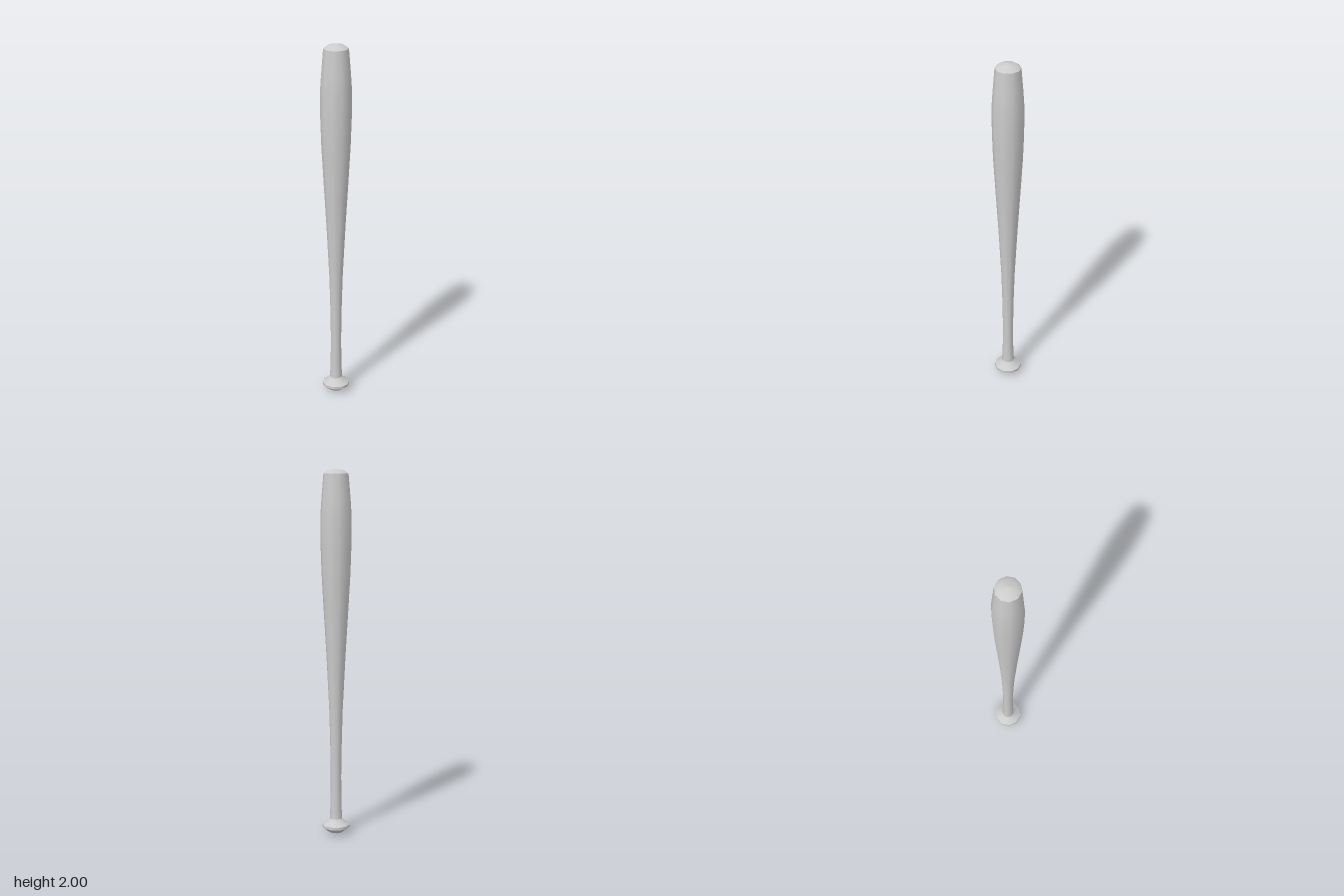
import * as THREE from 'three';

const SIDES = 10;

// Smooth ten-sided turned section; profile is [radius, height] from bottom to top
function turned(name, profile, material) {
  const points = profile.map(([r, y]) => new THREE.Vector2(r, y));
  const mesh = new THREE.Mesh(new THREE.LatheGeometry(points, SIDES, Math.PI / 2), material);
  mesh.name = name;
  return mesh;
}

export function createModel() {
  const material = new THREE.MeshStandardMaterial({ color: 0xcccccc });
  const bat = new THREE.Group();
  bat.name = 'baseballBat';

  // Sections meet at the sharp edges of the bat
  bat.add(
    turned('knobBase', [[0, 0], [0.037, 0.007], [0.076, 0.035]], material),
    turned('knobRim', [[0.076, 0.035], [0.076, 0.05]], material),
    turned('knobShoulder', [[0.076, 0.05], [0.05, 0.067], [0.035, 0.085]], material),
    turned('handleAndBarrel', [
      [0.035, 0.085], [0.031, 0.15], [0.029, 0.32], [0.032, 0.52], [0.037, 0.7],
      [0.052, 1.0], [0.068, 1.27], [0.078, 1.45], [0.083, 1.6], [0.084, 1.75],
      [0.078, 1.84], [0.067, 1.975],
    ], material),
    turned('endCap', [[0.067, 1.975], [0.042, 1.993], [0, 2]], material),
  );
  return bat;
}
